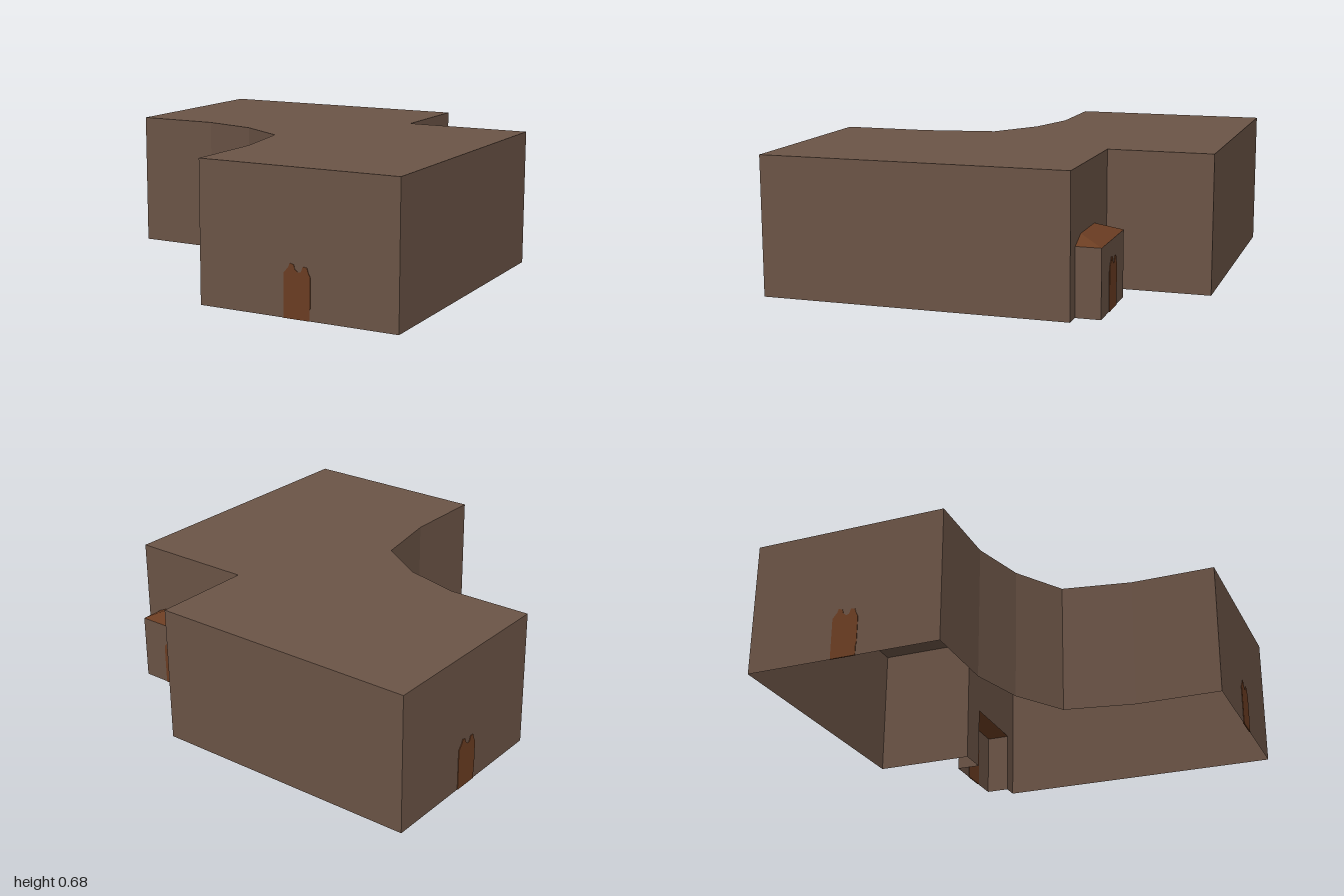
import * as THREE from 'three';

const HEIGHT = 0.675;
const EAVE = 0.325;
const RIDGE = 0.365;

export function createModel() {
  const model = new THREE.Group();
  model.name = 'house';

  const wallBrown = new THREE.MeshStandardMaterial({ color: 0x6b5446, side: THREE.DoubleSide, flatShading: true });
  wallBrown.name = 'wallBrown';
  const rustBrown = new THREE.MeshStandardMaterial({ color: 0x6b3d22, side: THREE.DoubleSide, flatShading: true });
  rustBrown.name = 'rustBrown';

  const shapeOf = (points) => new THREE.Shape(points.map(([x, y]) => new THREE.Vector2(x, y)));

  function add(name, geometry, material) {
    const mesh = new THREE.Mesh(geometry, material);
    mesh.name = name;
    model.add(mesh);
    return mesh;
  }

  // Upright wall from plan point a to b; opening = [start, end] leaves a doorway
  function wall(name, a, b, height, opening) {
    const dx = b[0] - a[0], dz = b[1] - a[1], length = Math.hypot(dx, dz);
    const outline = [[0, 0]];
    if (opening) {
      const [s, e] = opening;
      outline.push([s, 0], [s, EAVE], [e, EAVE], [e, 0]);
    }
    outline.push([length, 0], [length, height], [0, height]);
    const mesh = add(name, new THREE.ShapeGeometry(shapeOf(outline)), wallBrown);
    mesh.position.set(a[0], 0, a[1]);
    mesh.rotation.y = Math.atan2(-dz, dx);
  }

  // Main block: thin walls round an angled plan with a faceted inner corner, open below
  const plan = [
    [0.01, 1], [1, 1], [1, -0.49], [0.36, -0.49], [0.36, -1], [-1, -1],
    [-1, -0.015], [-0.58, -0.015], [-0.3, 0.06], [-0.055, 0.215], [0.01, 0.57],
  ];
  plan.forEach((p, i) => {
    const opening = i === 2 ? [0.08, 0.49] : null;
    wall('mainWall' + (i + 1), p, plan[(i + 1) % plan.length], HEIGHT, opening);
  });
  const flatRoof = add('flatRoof', new THREE.ShapeGeometry(shapeOf(plan.map(([x, z]) => [x, -z]))), wallBrown);
  flatRoof.rotation.x = -Math.PI / 2;
  flatRoof.position.y = HEIGHT;

  // Back porch walls
  const porch = [[0.92, -0.49], [0.92, -0.61], [0.51, -0.61], [0.51, -0.49]];
  for (let i = 0; i < 3; i++) wall('porchWall' + (i + 1), porch[i], porch[i + 1], EAVE);

  // Hipped lean-to roof over the porch
  const roof = new THREE.BufferGeometry();
  roof.setAttribute('position', new THREE.Float32BufferAttribute([
    0.92, EAVE, -0.61, 0.51, EAVE, -0.61, 0.59, RIDGE, -0.49,
    0.83, RIDGE, -0.49, 0.92, EAVE, -0.49, 0.51, EAVE, -0.49,
  ], 3));
  roof.setIndex([0, 1, 2, 0, 2, 3, 4, 0, 3, 1, 5, 2]);
  const roofFlat = roof.toNonIndexed();
  roofFlat.computeVertexNormals();
  add('porchRoof', roofFlat, rustBrown);

  // Doors: thin plates with an uneven double-peaked top, showing on both wall faces
  const doorShape = shapeOf([
    [-0.065, 0], [0.063, 0], [0.063, 0.05], [0.067, 0.06], [0.067, 0.195], [0.057, 0.215],
    [0.05, 0.238], [0.03, 0.24], [0.02, 0.215], [0.005, 0.212], [-0.01, 0.225],
    [-0.015, 0.245], [-0.035, 0.25], [-0.042, 0.232], [-0.065, 0.205],
  ]);
  const doorGeometry = new THREE.ExtrudeGeometry(doorShape, { depth: 0.006, bevelEnabled: false });
  doorGeometry.translate(0, 0, -0.003);
  const doors = [
    ['frontDoor', 0.51, 1, 0],
    ['sideDoor', -1, -0.5, -Math.PI / 2],
    ['porchDoor', 0.715, -0.61, Math.PI],
  ];
  for (const [name, x, z, turn] of doors) {
    const door = add(name, doorGeometry, rustBrown);
    door.position.set(x, 0, z);
    door.rotation.y = turn;
  }

  return model;
}
